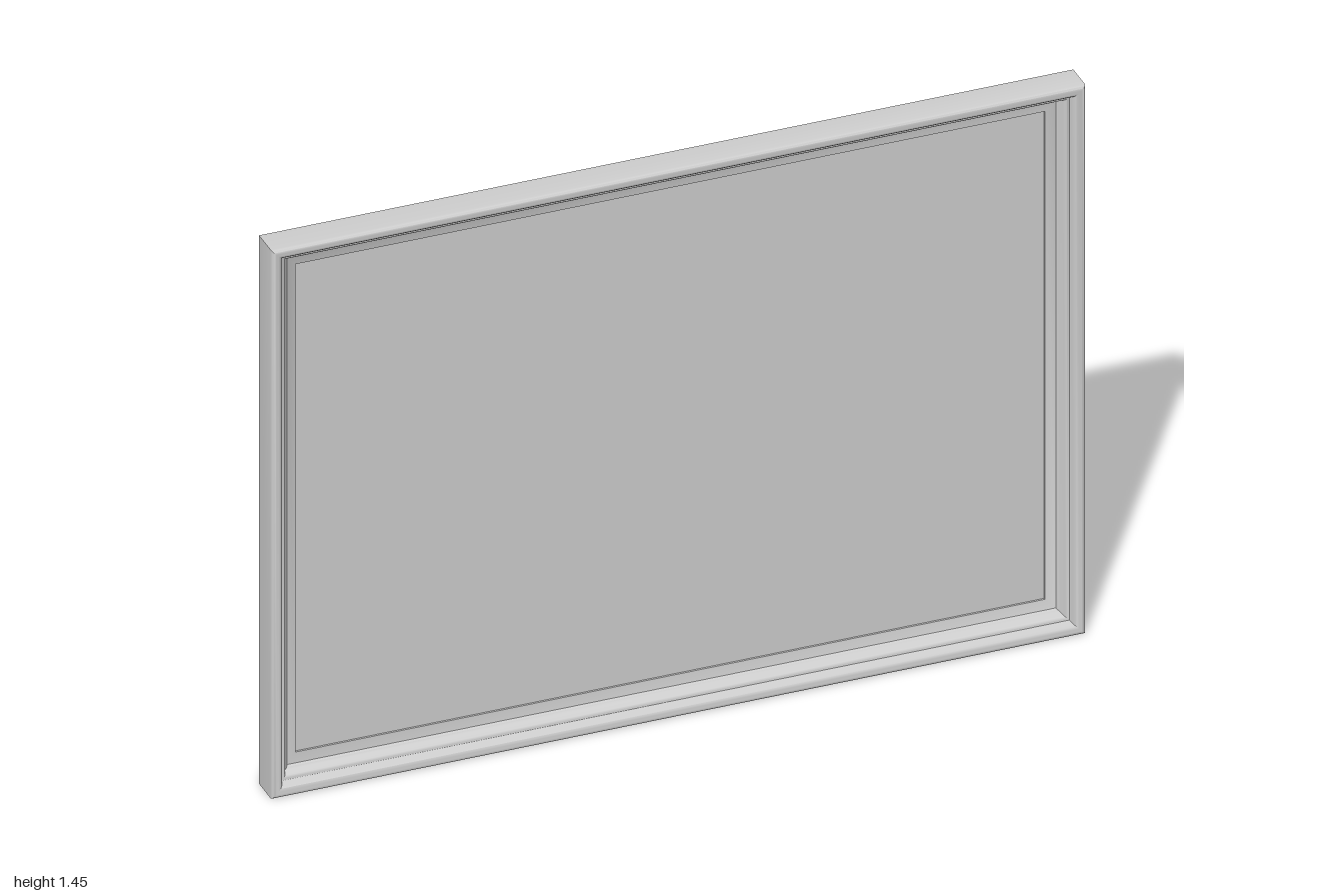
import * as THREE from 'three';
import { toCreasedNormals } from 'three/addons/utils/BufferGeometryUtils.js';

const W = 2, H = 1.45;

// Moulding cross-section as [inset from outer edge, z], from back edge over the lip to the opening
const PROFILE = [
  [0, -0.04], [0, 0.03], [0.002, 0.036], [0.006, 0.039], [0.011, 0.04], [0.017, 0.039],
  [0.023, 0.036], [0.028, 0.03], [0.03, 0.022], [0.033, 0.018], [0.038, 0.017], [0.042, 0.014],
  [0.045, 0.006], [0.048, 0.0], [0.053, -0.003], [0.056, -0.008], [0.08, -0.015], [0.08, -0.021],
];

// Sweep a profile round the rectangle with mitred corners
function sweepFrame(profile) {
  const signs = [[1, -1], [1, 1], [-1, 1], [-1, -1]];
  const point = (c, [inset, z]) => [
    signs[c][0] * (W / 2 - inset),
    H / 2 + signs[c][1] * (H / 2 - inset),
    z,
  ];
  const pos = [];
  for (let c = 0; c < 4; c++) {
    const n = (c + 1) % 4;
    for (let k = 0; k < profile.length - 1; k++) {
      const a = point(c, profile[k]), b = point(n, profile[k]);
      const d = point(c, profile[k + 1]), e = point(n, profile[k + 1]);
      pos.push(...a, ...b, ...e, ...a, ...e, ...d);
    }
  }
  const geo = new THREE.BufferGeometry();
  geo.setAttribute('position', new THREE.Float32BufferAttribute(pos, 3));
  return toCreasedNormals(geo, 0.7);
}

export function createModel() {
  const group = new THREE.Group();
  const material = new THREE.MeshStandardMaterial({ color: 0xcccccc });
  const shellMaterial = new THREE.MeshStandardMaterial({ color: 0xcccccc, side: THREE.DoubleSide });

  // Hollow moulded frame, open at the back
  const frame = new THREE.Mesh(sweepFrame(PROFILE), shellMaterial);
  frame.name = 'frameMoulding';
  group.add(frame);

  // Flat layers set into the frame: inset from the outer edge, front z, back z
  const addLayer = (name, inset, front, back) => {
    const geo = new THREE.BoxGeometry(W - 2 * inset, H - 2 * inset, front - back);
    const mesh = new THREE.Mesh(geo, material);
    mesh.position.set(0, H / 2, (front + back) / 2);
    mesh.name = name;
    group.add(mesh);
  };
  addLayer('picturePanel', 0.06, -0.02, -0.024);
  addLayer('backBoard', 0.085, -0.022, -0.028);
  addLayer('raisedBackPlate', 0.25, -0.026, -0.038);

  return group;
}
